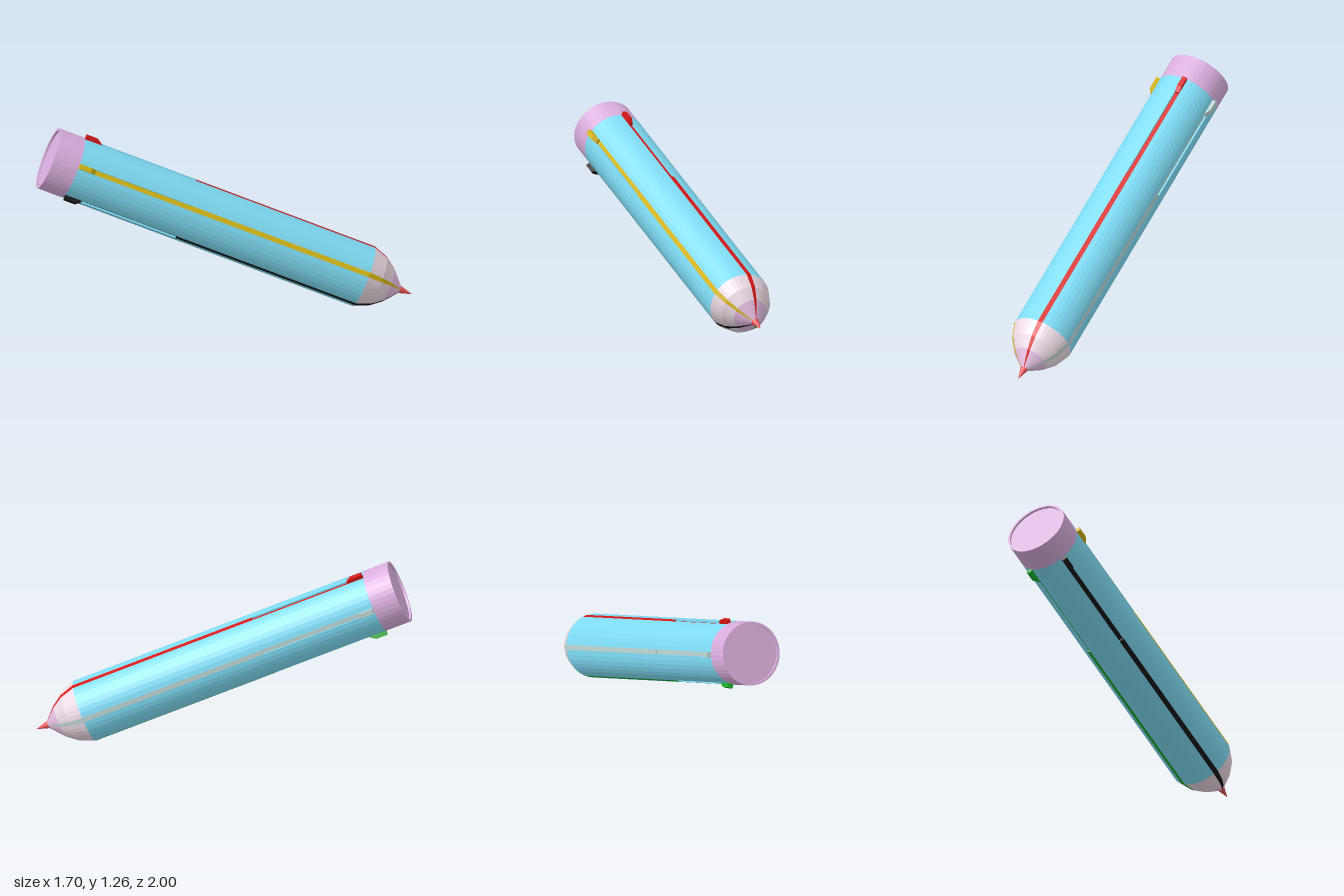
import * as THREE from 'three';

const R = 0.211;              // barrel radius
const STEP = Math.PI * 2 / 40; // one facet of the 40-sided barrel
const END = 2.603, CAP = 2.428, SLOT = 1.63, NOSE = 0.35;
const SLOT_R = R - 0.012;

const mat = (color) => new THREE.MeshStandardMaterial({ color, flatShading: true, side: THREE.DoubleSide });
const blue = mat(0x7fdcf5), pink = mat(0xd9aedd), palePink = mat(0xecdbe5), nosePink = mat(0xe8c0e4);

function add(parent, name, geometry, material) {
  const mesh = new THREE.Mesh(geometry, material);
  mesh.name = name;
  parent.add(mesh);
  return mesh;
}

// Revolved strip: profile is [radius, distance from the tip]
function lathe(profile, start = 0, segments = 40) {
  const pts = profile.map(([r, y]) => new THREE.Vector2(r, y));
  return new THREE.LatheGeometry(pts, segments, start, segments * STEP);
}

const noseFront = [[0.025, 0.09], [0.075, 0.135], [0.118, 0.175]];
const noseBack = [[0.118, 0.175], [0.174, 0.25], [R, NOSE]];

// Slider button with a sloped lower end, sticking out along +z
function buttonGeometry() {
  const s = new THREE.Shape();
  s.moveTo(SLOT_R - 0.01, 2.31);
  s.lineTo(R + 0.004, 2.31);
  s.lineTo(R + 0.027, 2.345);
  s.lineTo(R + 0.027, 2.425);
  s.lineTo(SLOT_R - 0.01, 2.425);
  const g = new THREE.ExtrudeGeometry(s, { depth: 0.033, bevelEnabled: false });
  g.translate(0, 0, -0.0165);
  return g.rotateY(-Math.PI / 2);
}

export function createModel() {
  const model = new THREE.Group();
  model.name = 'multicolourPen';
  const pen = new THREE.Group();
  pen.name = 'pen';
  model.add(pen);

  // Writing tip
  add(pen, 'writingTip', lathe([[0, 0], [0.03, 0.105], [0, 0.105]]), mat(0xe85555));

  // Five ink colours, each a one-facet stripe followed by a barrel panel
  const inks = [['red', 0xd81818], ['grey', 0xb8d0cc], ['green', 0x18a828], ['black', 0x151515], ['yellow', 0xd9b812]];
  inks.forEach(([ink, color], i) => {
    const angle = THREE.MathUtils.degToRad(8 + 72 * i);
    const left = angle - STEP / 2, right = angle + STEP / 2;
    const inkMat = mat(color);

    // Barrel and nose panel between two stripes
    add(pen, 'barrelPanel', lathe([[R, NOSE], [R, CAP]], right, 7), blue);
    add(pen, 'noseBackPanel', lathe(noseBack, right, 7), palePink);
    add(pen, 'noseFrontPanel', lathe(noseFront, right, 7), nosePink);

    // Stripe tapering over the nose, then sinking into the slider slot
    add(pen, ink + 'Stripe', lathe([...noseFront, ...noseBack.slice(1), [R, SLOT], [SLOT_R, SLOT], [SLOT_R, CAP]], left, 1), inkMat);

    // Slot side walls
    for (const a of [left, right]) {
      const wall = new THREE.PlaneGeometry(R - SLOT_R, CAP - SLOT);
      wall.rotateY(-Math.PI / 2);
      wall.translate(0, (CAP + SLOT) / 2, (R + SLOT_R) / 2);
      add(pen, 'slotWall', wall.rotateY(a), blue);
    }

    // Slider button
    add(pen, ink + 'Button', buttonGeometry(), inkMat).rotation.y = angle;
  });

  // End cap with a shallow recess
  add(pen, 'endCap', lathe([[SLOT_R - 0.01, CAP], [R, CAP], [R, END], [0.195, END], [0.195, END - 0.015], [0, END - 0.015]]), pink);

  // Lay the pen along its slanted axis, tip low and forward
  const tip = new THREE.Vector3(0.85, 0.06, 1.0);
  const axis = new THREE.Vector3(-1.53, 1.007, -1.852).normalize();
  const side = new THREE.Vector3().crossVectors(axis, new THREE.Vector3(0, 1, 0)).normalize();
  const up = new THREE.Vector3().crossVectors(side, axis);
  pen.quaternion.setFromRotationMatrix(new THREE.Matrix4().makeBasis(side, axis, up));
  pen.position.copy(tip);
  return model;
}
